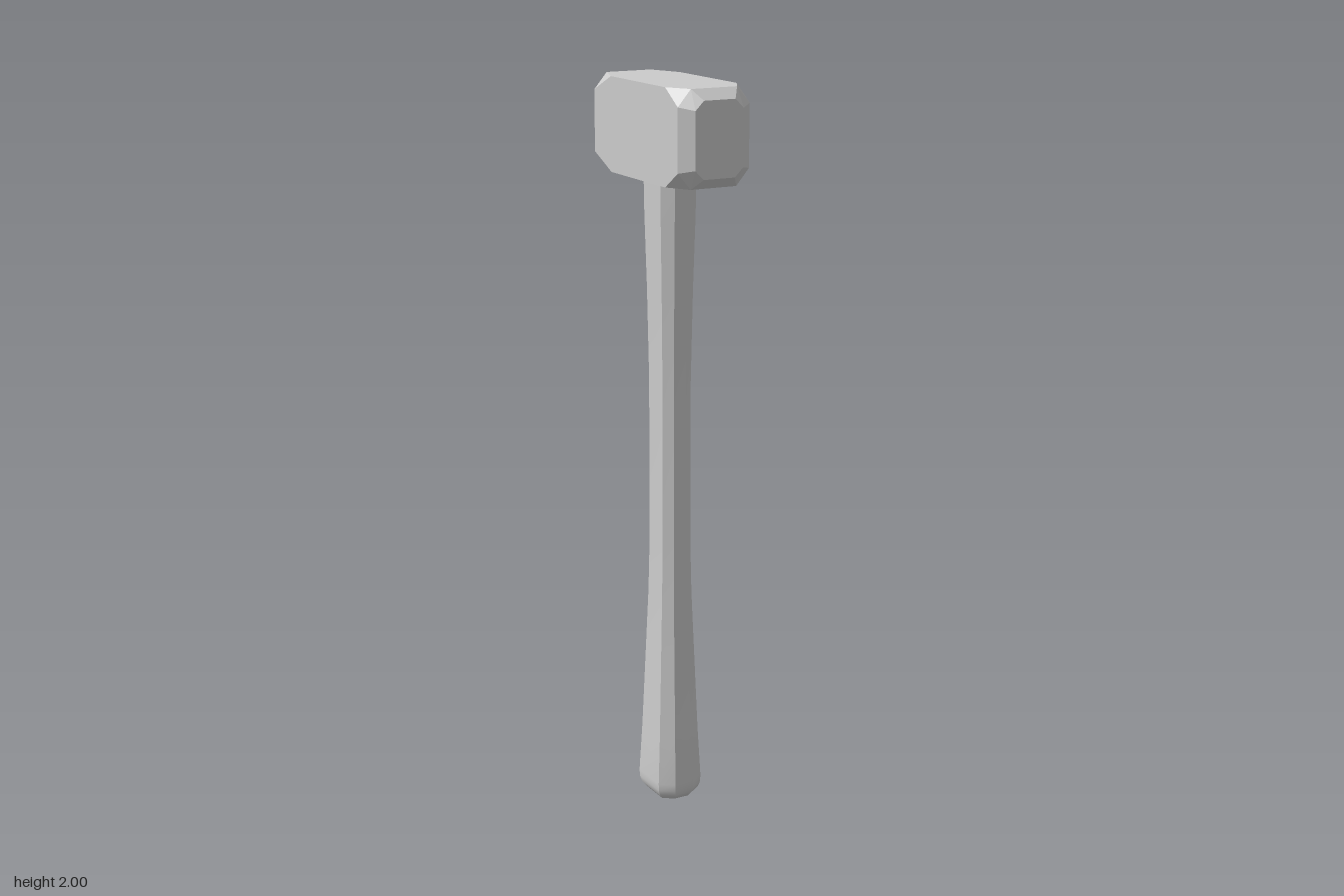
import * as THREE from 'three';
import { toCreasedNormals } from 'three/addons/utils/BufferGeometryUtils.js';
import { ConvexGeometry } from 'three/addons/geometries/ConvexGeometry.js';

const material = new THREE.MeshStandardMaterial({ color: 0xcccccc });

// Block with cut corners and a bevelled striking face at each end
function createHead() {
  const points = [];
  for (const sx of [-1, 1]) {
    for (const sy of [-1, 1]) {
      for (const sz of [-1, 1]) {
        const cut = sz > 0 ? 0.163 : 0.132;
        const corner = [
          [0.103, 0.125, cut],
          [0.066, 0.125, 0.228],
          [0.103, 0.082, 0.228],
          [0.069, 0.074, 0.257],
          [0.045, 0.098, 0.257],
        ];
        for (const [x, y, z] of corner) {
          points.push(new THREE.Vector3(sx * x, sy * y, sz * z));
        }
      }
    }
  }
  const head = new THREE.Mesh(new ConvexGeometry(points), material);
  head.name = 'head';
  head.position.y = 1.875;
  return head;
}

// Octagonal shaft lofted through rows of [y, half width, half depth]
function createHandle() {
  const rows = [
    [0, 0.036, 0.05], [0.006, 0.05, 0.066], [0.02, 0.061, 0.078],
    [0.036, 0.066, 0.083], [0.056, 0.067, 0.084], [0.2, 0.06, 0.076],
    [0.4, 0.053, 0.067], [0.6, 0.046, 0.058], [0.75, 0.043, 0.055],
    [1.2, 0.043, 0.055], [1.45, 0.047, 0.06], [1.65, 0.052, 0.066],
    [1.8, 0.054, 0.068],
  ];
  // Unit outline, running from +z towards +x
  const outline = [
    [0.42, 1], [1, 0.68], [1, -0.68], [0.42, -1],
    [-0.42, -1], [-1, -0.68], [-1, 0.68], [-0.42, 1],
  ];
  const n = outline.length;
  const positions = [];
  const index = [];
  for (const [y, w, d] of rows) {
    for (const [x, z] of outline) positions.push(x * w, y, z * d);
  }
  for (let r = 0; r < rows.length - 1; r++) {
    for (let i = 0; i < n; i++) {
      const a = r * n + i;
      const b = r * n + (i + 1) % n;
      index.push(a, b, b + n, a, b + n, a + n);
    }
  }
  // End caps
  const top = (rows.length - 1) * n;
  for (let i = 1; i < n - 1; i++) {
    index.push(0, i + 1, i, top, top + i, top + i + 1);
  }
  const geometry = new THREE.BufferGeometry();
  geometry.setAttribute('position', new THREE.Float32BufferAttribute(positions, 3));
  geometry.setIndex(index);
  const handle = new THREE.Mesh(toCreasedNormals(geometry, 0.55), material);
  handle.name = 'handle';
  return handle;
}

export function createModel() {
  const group = new THREE.Group();
  group.name = 'sledgehammer';
  group.add(createHead(), createHandle());
  return group;
}
